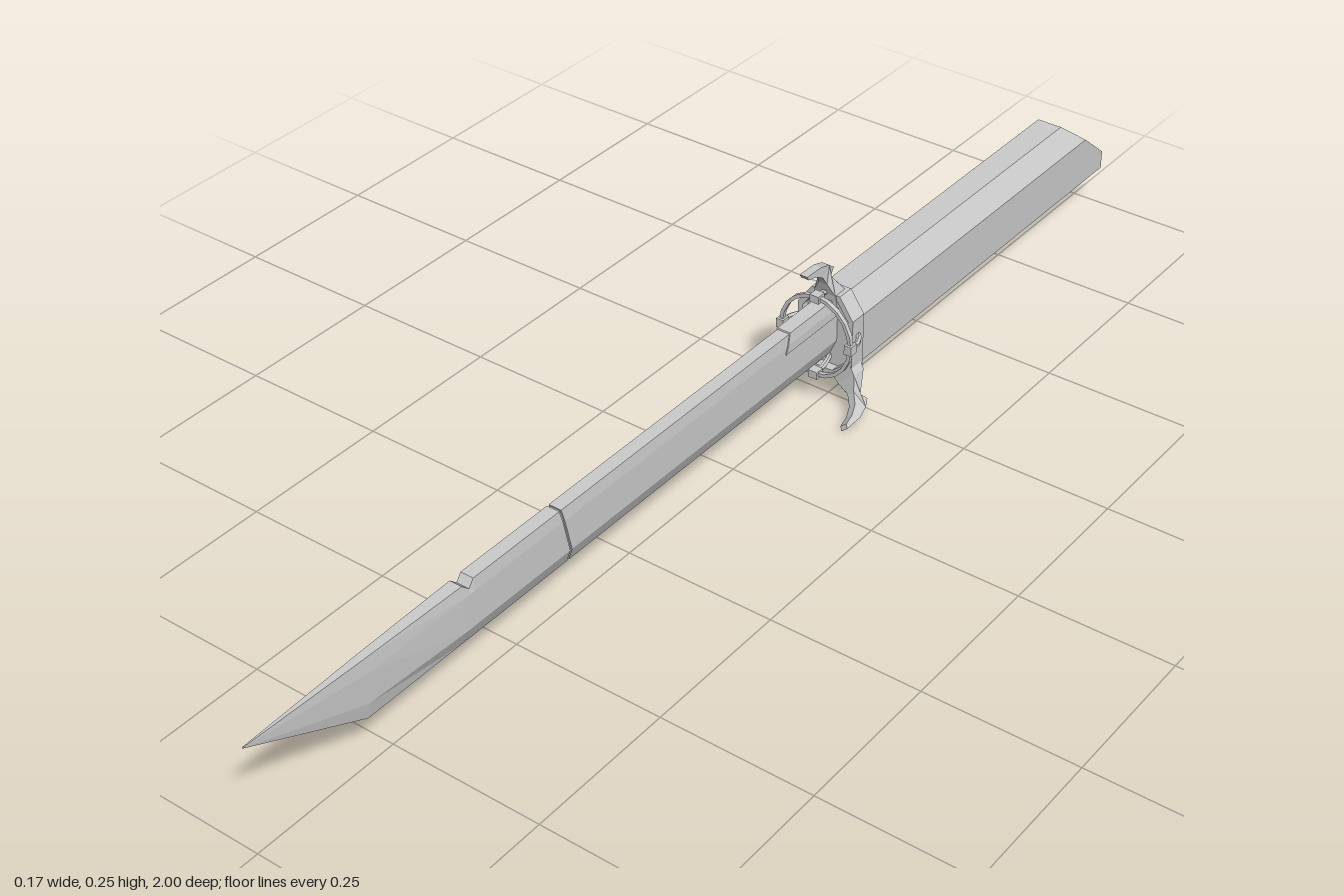
import * as THREE from 'three';

const material = new THREE.MeshStandardMaterial({ color: 0xcccccc, flatShading: true, side: THREE.DoubleSide });
const CY = 0.127; // height of the guard's centre

function part(name, geometry, parent) {
  const mesh = new THREE.Mesh(geometry, material);
  mesh.name = name;
  parent.add(mesh);
  return mesh;
}

// Skin rings of [x, y, z] (counter-clockwise seen from +z, ordered towards +z) and cap both ends
function loft(rings) {
  const pos = [];
  const tri = (a, b, c) => pos.push(...a, ...b, ...c);
  const n = rings[0].length;
  for (let k = 0; k < rings.length - 1; k++) {
    for (let i = 0; i < n; i++) {
      const j = (i + 1) % n, r = rings[k], s = rings[k + 1];
      tri(r[i], r[j], s[j]);
      tri(r[i], s[j], s[i]);
    }
  }
  const first = rings[0], last = rings[rings.length - 1];
  for (let i = 1; i < n - 1; i++) {
    tri(first[0], first[i + 1], first[i]);
    tri(last[0], last[i], last[i + 1]);
  }
  const g = new THREE.BufferGeometry();
  g.setAttribute('position', new THREE.Float32BufferAttribute(pos, 3));
  g.computeVertexNormals();
  return g;
}

// Mirror a right-hand half profile (bottom to top) into a closed ring
const mirrored = half => [...half, ...half.slice().reverse().map(([x, y]) => [-x, y])];

// Blade cross-section: spine, upper shoulder, bevel line, cutting edge; lean tilts it in z
function bladeRing(z, { spine = [0.011, 0.18], shoulder = [0.013, 0.16], bevel = [0.013, 0.103], edge = [0.0008, 0.075], lean = 0 } = {}) {
  return mirrored([edge, bevel, shoulder, spine]).map(([x, y]) => [x, y, z + lean * (y - 0.127)]);
}

function createBlade() {
  const blade = new THREE.Group();
  blade.name = 'blade';
  part('bladeBase', loft([bladeRing(-0.25), bladeRing(0.395, { lean: 0.22 })]), blade);
  // Thin core seen inside the crack
  part('bladeCore', loft([0.37, 0.43].map(z => bladeRing(z, {
    spine: [0.008, 0.177], shoulder: [0.01, 0.16], bevel: [0.01, 0.104], edge: [0.0008, 0.08]
  }))), blade);
  const tip = 0.0006;
  part('bladePoint', loft([
    bladeRing(0.399, { lean: 0.22 }),
    bladeRing(0.588),
    bladeRing(0.597, { spine: [0.011, 0.168] }),
    bladeRing(0.61, { spine: [0.0105, 0.18] }),
    bladeRing(0.79, { spine: [0.007, 0.18], shoulder: [0.0085, 0.155], bevel: [0.006, 0.103] }),
    bladeRing(1, { spine: [tip, 0.18], shoulder: [tip, 0.1795], bevel: [tip, 0.179], edge: [tip, 0.1785] })
  ]), blade);
  // Sleeve wrapped over the spine next to the guard
  const sleeve = [[0.0145, 0.15], [0.0145, 0.165], [0.012, 0.182]];
  part('bladeSleeve', loft([
    mirrored(sleeve).map(([x, y]) => [x, y, -0.25]),
    mirrored(sleeve).map(([x, y]) => [x, y, -0.12 - (y - 0.165) * 0.4])
  ]), blade);
  return blade;
}

function createHandle() {
  const section = [
    [0.047, 0.1], [0.047, 0.152], [0.022, 0.188], [-0.022, 0.188], [-0.047, 0.152],
    [-0.047, 0.1], [-0.047, 0.068], [-0.027, 0.056], [0.027, 0.056], [0.047, 0.068]
  ];
  // The upper rear is cut away on a slope
  const back = section.map(([x, y]) => [x, y, -1 + Math.max(0, y - 0.1) * 1.22]);
  const front = section.map(([x, y]) => [x, y, -0.25]);
  return loft([back, front]);
}

function guardOutline(inset = 0) {
  const pts = mirrored([
    [0.03 - inset * 0.5, 0.046 + inset], [0.051 - inset, 0.064 + inset * 0.5],
    [0.051 - inset, 0.158 - inset * 0.4], [0.026 - inset * 0.6, 0.194 - inset]
  ]);
  return pts.map(([x, y]) => new THREE.Vector2(x, y));
}

function extrude(points, holePoints, depth, z) {
  const shape = new THREE.Shape(points);
  if (holePoints) shape.holes.push(new THREE.Path(holePoints));
  return new THREE.ExtrudeGeometry(shape, { depth, bevelEnabled: false }).translate(0, 0, z);
}

// Curved prong: side profile of [z, radius], waisted in width as it rises
function prongGeometry() {
  const profile = [
    [-0.262, 0.045], [-0.26, 0.066], [-0.25, 0.083], [-0.238, 0.097], [-0.246, 0.109], [-0.234, 0.118],
    [-0.212, 0.125], [-0.176, 0.126], [-0.18, 0.119], [-0.2, 0.114], [-0.217, 0.104],
    [-0.228, 0.087], [-0.234, 0.066], [-0.236, 0.045]
  ];
  const g = extrude(profile.map(([z, r]) => new THREE.Vector2(z, r)), null, 2, -1);
  g.rotateY(-Math.PI / 2); // profile x becomes z
  const p = g.attributes.position;
  for (let i = 0; i < p.count; i++) {
    const t = THREE.MathUtils.smoothstep(p.getY(i), 0.058, 0.09);
    p.setX(i, p.getX(i) * THREE.MathUtils.lerp(0.022, 0.007, t));
  }
  g.computeVertexNormals();
  return g;
}

function createGuard() {
  const guard = new THREE.Group();
  guard.name = 'guard';
  part('guardPlate', extrude(guardOutline(), null, 0.014, -0.266), guard);
  part('guardRim', extrude(guardOutline(), guardOutline(0.009), 0.016, -0.252), guard);

  // Three prongs: one up, two splayed down
  const prong = prongGeometry();
  [['topProng', 0, CY], ['leftProng', -140, 0.101], ['rightProng', 140, 0.101]].forEach(([name, deg, y]) => {
    const m = part(name, prong, guard);
    m.position.y = y;
    m.rotation.z = THREE.MathUtils.degToRad(deg);
  });

  // Oval ring standing in front of the plate
  const oval = (rx, ry) => Array.from({ length: 20 }, (_, i) => {
    const a = i / 20 * Math.PI * 2;
    return new THREE.Vector2(Math.cos(a) * rx, CY + Math.sin(a) * ry);
  });
  part('guardRing', extrude(oval(0.067, 0.073), oval(0.061, 0.067), 0.007, -0.216), guard);

  // Curved struts and clips joining the ring to the plate
  for (let k = 0; k < 4; k++) {
    const a = k * Math.PI / 2, c = Math.cos(a), s = Math.sin(a);
    const at = (r, z) => new THREE.Vector3(c * r, CY + s * (r + 0.006), z);
    const curve = new THREE.CatmullRomCurve3([at(0.046, -0.255), at(0.056, -0.246), at(0.063, -0.23), at(0.064, -0.212)]);
    part('ringStrut', new THREE.TubeGeometry(curve, 8, 0.0045, 6), guard);
    const clip = part('ringClip', new THREE.BoxGeometry(0.013, 0.016, 0.016), guard);
    clip.position.copy(at(0.063, -0.213));
    clip.rotation.z = a;
  }
  return guard;
}

export function createModel() {
  const model = new THREE.Group();
  model.name = 'sword';
  model.add(createBlade());
  part('handle', createHandle(), model);
  model.add(createGuard());
  return model;
}
